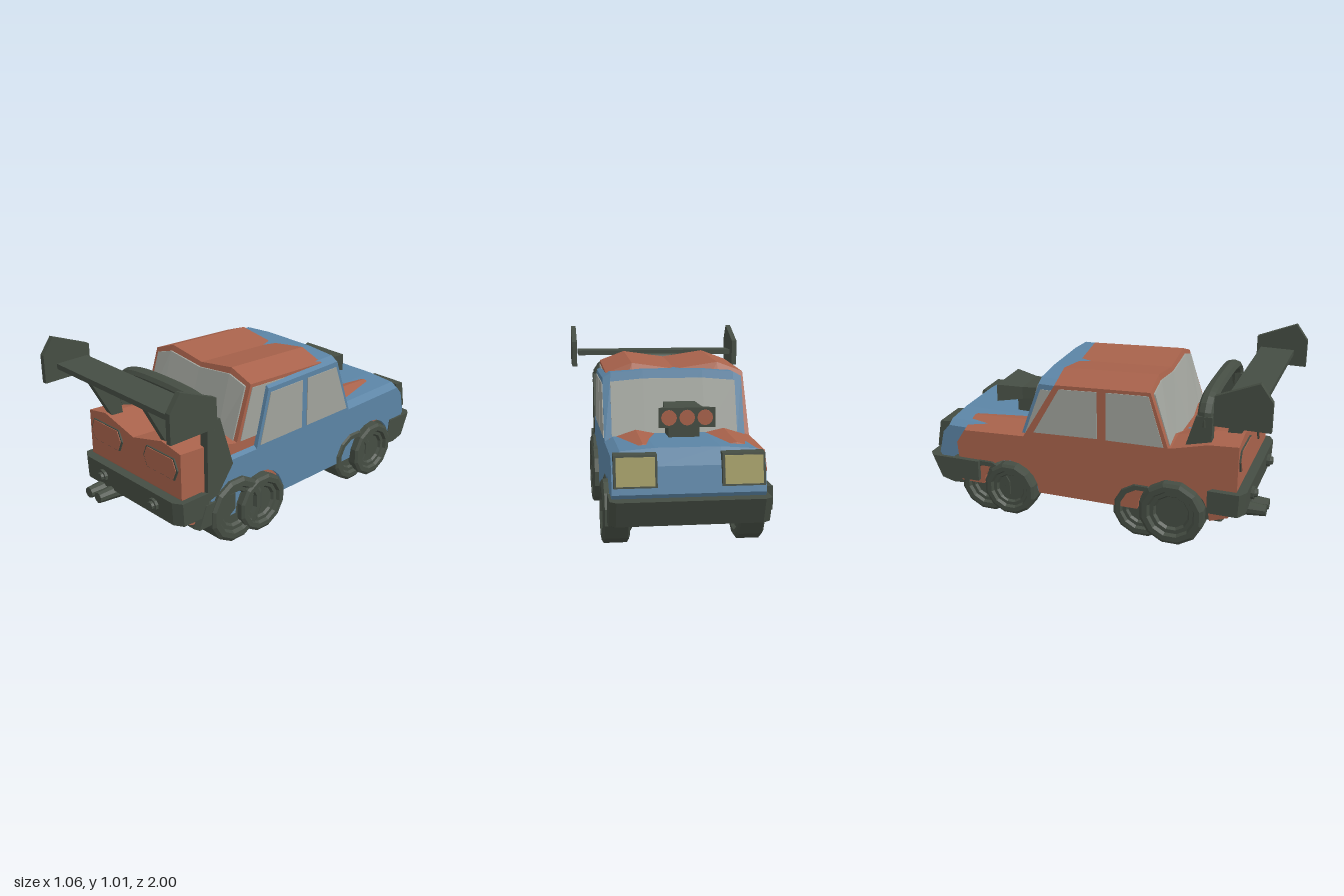
import * as THREE from 'three';

export function createModel() {
  const root = new THREE.Group();
  const mat = (name, color) => {
    const m = new THREE.MeshStandardMaterial({ color });
    m.name = name;
    return m;
  };
  const orange = mat('rust orange paint', 0xa8624b);
  const blue = mat('blue paint', 0x5b84a5);
  const dark = mat('dark trim', 0x454d43);
  const glass = mat('grey glass', 0xa0a39c);
  const yellow = mat('headlight yellow', 0xa39d66);

  // Faceted mesh
  function add(name, geo, material, x = 0, y = 0, z = 0) {
    const g = geo.index ? geo.toNonIndexed() : geo;
    g.computeVertexNormals();
    const mesh = new THREE.Mesh(g, material);
    mesh.name = name;
    mesh.position.set(x, y, z);
    root.add(mesh);
    return mesh;
  }
  const box = (name, m, x0, x1, y0, y1, z0, z1) => add(name,
    new THREE.BoxGeometry(x1 - x0, y1 - y0, z1 - z0), m, (x0 + x1) / 2, (y0 + y1) / 2, (z0 + z1) / 2);

  // Shape in the side plane from [z, y] points; arches are [z, radius] cut from the bottom edge
  function sideShape(pts, arches = [], base = 0.16) {
    const s = new THREE.Shape();
    pts.forEach(([z, y], i) => (i ? s.lineTo(-z, y) : s.moveTo(-z, y)));
    for (const [z, r] of arches) {
      for (let i = 0; i <= 10; i++) {
        const a = Math.PI * i / 10;
        s.lineTo(-z + r * Math.cos(a), base + r * Math.sin(a));
      }
    }
    return s;
  }
  // Side profile swept across the stations xs, each vertex adjusted by move(v, stationIndex)
  function loft(shape, xs, move) {
    const n = xs.length - 1;
    const g = new THREE.ExtrudeGeometry(shape, { depth: n, steps: n, bevelEnabled: false });
    g.rotateY(Math.PI / 2);
    const p = g.attributes.position, v = new THREE.Vector3();
    for (let k = 0; k < p.count; k++) {
      v.fromBufferAttribute(p, k);
      const i = Math.round(v.x);
      v.x = xs[i];
      if (move) move(v, i);
      p.setXYZ(k, v.x, v.y, v.z);
    }
    return g;
  }
  const slab = (pts, x0, x1) => loft(sideShape(pts), [x0, x1]);

  // Blue car, set a little to one side
  const C = 0.027;
  const blueXs = [-0.375, -0.33, -0.16, 0.16, 0.33, 0.375].map((x) => x + C);
  const blueCrown = [0, 0.025, 0.038, 0.038, 0.025, 0];
  const crownBlue = (v, i) => { if (v.y > 0.44) v.y += blueCrown[i]; };
  add('blueBody', loft(sideShape([
    [0.62, 0.16], [0.65, 0.31], [0.5, 0.48], [-0.41, 0.48], [-0.86, 0.485],
    [-0.9, 0.44], [-0.93, 0.31], [-0.84, 0.16],
  ], [[-0.62, 0.18], [0.3, 0.18]]), blueXs, crownBlue), blue);
  add('blueCabin', loft(sideShape([[0.33, 0.46], [0.24, 0.8], [-0.295, 0.805], [-0.42, 0.46]]),
    blueXs, (v, i) => { if (v.y > 0.7) v.y += blueCrown[i]; }), blue);
  add('windshield', loft(sideShape([[-0.407, 0.5], [-0.318, 0.765], [-0.306, 0.765], [-0.395, 0.5]]),
    [-0.335, -0.16, 0.16, 0.335].map((x) => x + C),
    (v, i) => { if (v.y > 0.7) v.y += [0.02, 0.035, 0.035, 0.02][i]; }), glass);
  const blueWindows = [
    [[0.3, 0.497], [0.225, 0.775], [-0.015, 0.775], [-0.015, 0.497]],
    [[-0.055, 0.497], [-0.055, 0.775], [-0.285, 0.775], [-0.388, 0.497]],
  ];
  for (const s of [-1, 1]) {
    for (const w of blueWindows) {
      const x = C + s * 0.376;
      add('blueSideWindow', slab(w, x - 0.003, x + 0.003), glass);
    }
  }

  // Orange car: ridges on both sides with a valley along the middle
  const orangeXs = [-0.377, -0.235, 0, 0.235, 0.377];
  const ridge = (i, side, mid) => [0, side, mid, side, 0][i];
  add('orangeBody', loft(sideShape([
    [0.78, 0.2], [0.82, 0.36], [0.82, 0.61], [0.66, 0.6], [0.46, 0.55],
    [-0.4, 0.495], [-0.75, 0.48], [-0.8, 0.4], [-0.78, 0.165],
  ], [[-0.47, 0.17], [0.48, 0.2]], 0.165), orangeXs, (v, i) => {
    if (v.y < 0.45) return;
    v.y += v.z > 0.4 ? ridge(i, 0.025, -0.035) : ridge(i, 0.043, -0.005);
  }), orange);
  add('orangeCabin', loft(sideShape([[0.46, 0.5], [0.345, 0.845], [-0.19, 0.82], [-0.4, 0.47]]),
    orangeXs, (v, i) => { if (v.y > 0.7) v.y += ridge(i, 0.053, 0.018); }), orange);
  add('rearWindow', loft(sideShape([[0.452, 0.545], [0.362, 0.822], [0.345, 0.822], [0.435, 0.545]]),
    [-0.35, -0.235, 0, 0.235, 0.35],
    (v, i) => { if (v.y > 0.7) v.y += [0.008, 0.044, 0.016, 0.044, 0.008][i]; }), glass);
  const orangeWindows = [
    [[0.42, 0.55], [0.335, 0.825], [0.1, 0.815], [0.1, 0.545]],
    [[0.05, 0.545], [0.05, 0.812], [-0.165, 0.8], [-0.32, 0.53]],
  ];
  for (const s of [-1, 1]) {
    for (const w of orangeWindows) {
      add('orangeSideWindow', slab(w, s * 0.378 - 0.003, s * 0.378 + 0.003), glass);
    }
  }
  // Keel under the nose
  add('keel', loft(sideShape([[0.0, 0.17], [0.0, 0.162], [-0.72, 0.162], [-0.74, 0.17]]), [-0.16, 0, 0.16],
    (v, i) => { if (i === 1 && v.y < 0.165 && v.z < -0.5) v.y = 0.12; }), orange);

  // Wheels with recessed hubs
  function wheel(name, x, y, z, r, w) {
    const h = w / 2;
    const pts = [[0, -0.55], [0.5, -0.55], [0.56, -0.75], [0.68, -0.75], [0.74, -1], [0.9, -1], [1, -0.85],
      [1, 0.85], [0.9, 1], [0.74, 1], [0.68, 0.75], [0.56, 0.75], [0.5, 0.55], [0, 0.55]]
      .map(([a, b]) => new THREE.Vector2(a * r, b * h));
    const g = new THREE.LatheGeometry(pts, 12);
    g.rotateZ(Math.PI / 2);
    g.rotateX(Math.PI / 12);
    add(name, g, dark, x, y, z);
  }
  for (const s of [-1, 1]) {
    wheel('blueFrontWheel', C + s * 0.34, 0.163, -0.62, 0.163, 0.137);
    wheel('blueRearWheel', C + s * 0.34, 0.163, 0.3, 0.163, 0.137);
    wheel('orangeFrontWheel', s * 0.34, 0.168, -0.47, 0.155, 0.14);
    wheel('orangeRearWheel', s * 0.348, 0.19, 0.48, 0.182, 0.165);
  }

  // Bumpers, with drawn-in corners
  const bumper = (name, pts, xs, shift) => add(name, loft(sideShape(pts), xs,
    (v, i) => { if (i === 0 || i === 3) v.z += shift; }), dark);
  bumper('frontBumper', [[-0.82, 0.29], [-1, 0.29], [-0.945, 0.16], [-0.87, 0.14], [-0.8, 0.145]],
    [-0.368, -0.33, 0.385, 0.415], 0.03);
  bumper('rearBumper', [[0.7, 0.227], [0.7, 0.355], [0.87, 0.355], [0.865, 0.227]],
    [-0.41, -0.36, 0.36, 0.41], -0.03);
  bumper('lowerRearBumper', [[0.5, 0.2], [0.5, 0.29], [0.7, 0.29], [0.75, 0.165], [0.55, 0.165]],
    [-0.365, -0.33, 0.38, 0.415], -0.01);
  box('frontCornerBumper', dark, -0.405, 0.385, 0.19, 0.31, -0.82, -0.66);

  // Headlights
  for (const s of [-1, 1]) {
    const x = C + s * 0.262;
    add('headlightFrame', slab([[-0.86, 0.505], [-0.918, 0.5], [-0.945, 0.345], [-0.88, 0.335]], x - 0.105, x + 0.105), dark);
    add('headlight', slab([[-0.918, 0.49], [-0.926, 0.49], [-0.95, 0.355], [-0.942, 0.355]], x - 0.093, x + 0.093), yellow);
  }

  // Tail lights: orange hexagons with dark rims
  function hexPlate(k, depth) {
    const s = new THREE.Shape([[-0.135, 0], [-0.108, 0.06], [0.108, 0.06], [0.135, 0], [0.108, -0.06], [-0.108, -0.06]]
      .map(([x, y]) => new THREE.Vector2(x * k, y * k)));
    return new THREE.ExtrudeGeometry(s, { depth, bevelEnabled: false });
  }
  for (const s of [-1, 1]) {
    add('tailLightRim', hexPlate(1, 0.009), dark, s * 0.225, 0.515, 0.819);
    add('tailLight', hexPlate(0.93, 0.009), orange, s * 0.225, 0.515, 0.823);
  }

  // Bumper knobs and twin exhausts
  const pipe = (name, r0, r1, len, x, y, z) =>
    add(name, new THREE.CylinderGeometry(r0, r1, len, 10).rotateX(Math.PI / 2), dark, x, y, z);
  for (const s of [-1, 1]) {
    pipe('bumperKnob', 0.036, 0.036, 0.03, s * 0.215, 0.29, 0.87);
    pipe('bumperKnobTip', 0.022, 0.026, 0.02, s * 0.215, 0.29, 0.89);
  }
  for (const x of [-0.24, -0.16]) {
    pipe('exhaustPipe', 0.03, 0.046, 0.2, x, 0.207, 0.855);
  }

  // Rear wing
  box('wingBlade', dark, -0.49, 0.49, 0.843, 0.872, 0.74, 0.93);
  for (const s of [-1, 1]) {
    add('wingEndPlate', slab([[1, 0.775], [1, 0.93], [0.935, 1.02], [0.715, 0.93], [0.715, 0.775]],
      s * 0.515 - 0.015, s * 0.515 + 0.015), dark);
    add('wingStrut', slab([[0.92, 0.85], [0.76, 0.85], [0.725, 0.6], [0.785, 0.6]],
      s * 0.225 - 0.02, s * 0.225 + 0.02), dark);
  }

  // Roll bar: two tapered legs joined by a bowed tube
  for (const s of [-1, 1]) {
    const x = C + s * 0.352;
    add('rollBarLeg', slab([[0.67, 0.3], [0.668, 0.74], [0.582, 0.74], [0.497, 0.46], [0.6, 0.32]], x - 0.026, x + 0.026), dark);
  }
  const barCurve = new THREE.CatmullRomCurve3([[-0.352, 0.68], [-0.342, 0.765], [-0.28, 0.81], [0, 0.833],
    [0.28, 0.81], [0.342, 0.765], [0.352, 0.68]].map(([x, y]) => new THREE.Vector3(x, y, 0)));
  add('rollBarTop', new THREE.TubeGeometry(barCurve, 24, 0.029, 8).scale(1, 1, 1.5), dark, C, 0, 0.626);

  // Hood intake flaring towards the nose, with three mouths
  const scoop = new THREE.BoxGeometry(1, 1, 1, 1, 1, 3);
  const stations = [[-0.65, 0.145, 0.585, 0.685], [-0.51, 0.1, 0.6, 0.672], [-0.44, 0.092, 0.61, 0.675], [-0.355, 0.085, 0.625, 0.68]];
  const sp = scoop.attributes.position;
  for (let k = 0; k < sp.count; k++) {
    const [z, w, y0, y1] = stations[Math.round((sp.getZ(k) + 0.5) * 3)];
    sp.setXYZ(k, Math.sign(sp.getX(k)) * w, sp.getY(k) > 0 ? y1 : y0, z);
  }
  add('intakeScoop', scoop, dark);
  box('intakePedestal', dark, -0.08, 0.08, 0.5, 0.63, -0.55, -0.41);
  for (const x of [-0.092, 0, 0.092]) {
    add('intakeMouth', new THREE.CylinderGeometry(0.04, 0.04, 0.008, 12).rotateX(Math.PI / 2), orange, x, 0.635, -0.65);
  }
  return root;
}
